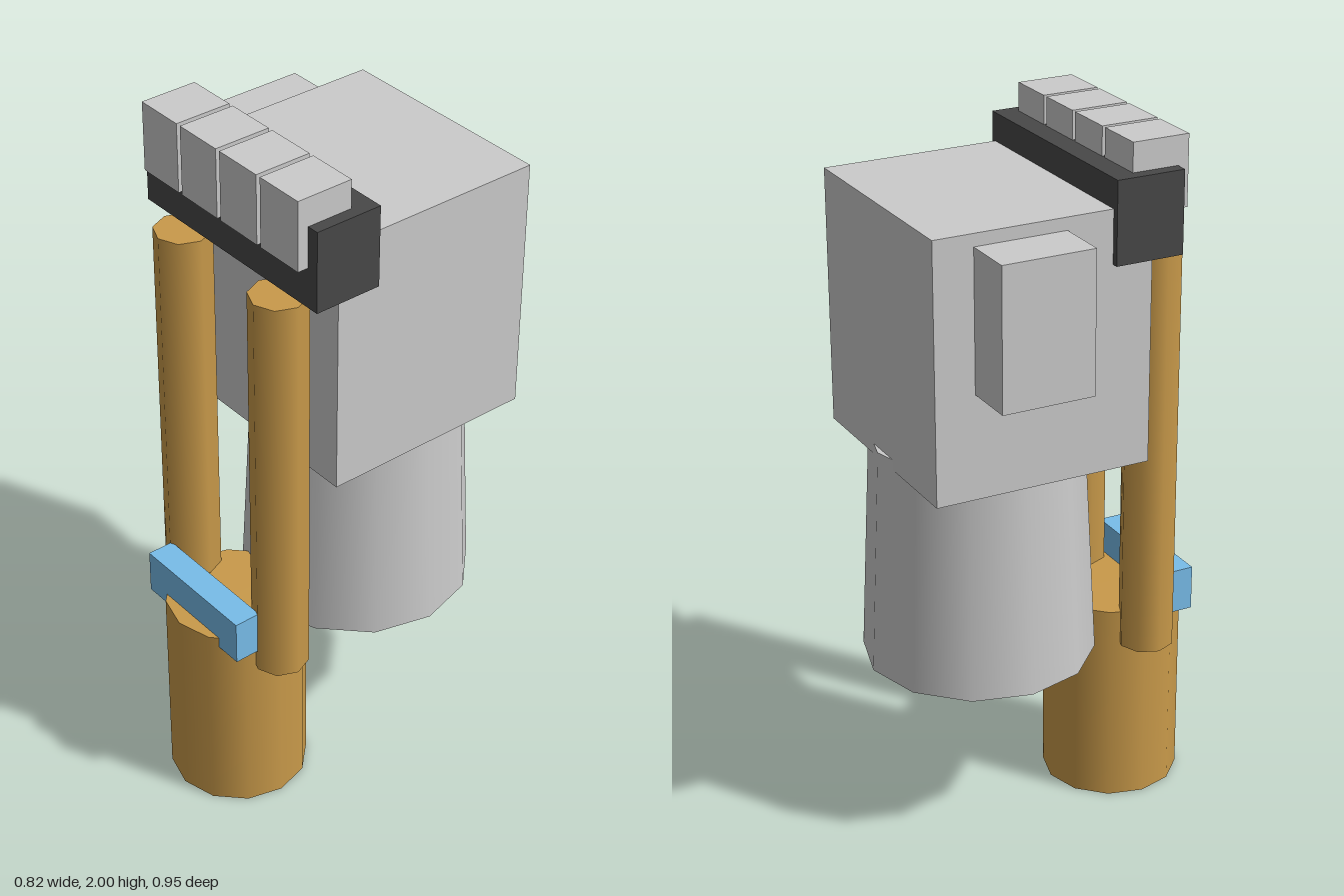
import * as THREE from 'three';

const material = (color) => new THREE.MeshStandardMaterial({ color });

export function createModel() {
  const model = new THREE.Group();
  const grey = material(0xcccccc);
  const dark = material(0x484848);
  const brass = material(0xc99a4a);
  const blue = material(0x78bdea);

  const add = (name, geometry, mat, x, y, z) => {
    const mesh = new THREE.Mesh(geometry, mat);
    mesh.name = name;
    mesh.position.set(x, y, z);
    model.add(mesh);
  };
  // Box given by its limits on each axis
  const box = (name, mat, [x0, x1], [y0, y1], [z0, z1]) =>
    add(name, new THREE.BoxGeometry(x1 - x0, y1 - y0, z1 - z0), mat,
      (x0 + x1) / 2, (y0 + y1) / 2, (z0 + z1) / 2);
  // Upright cylinder given by its radii and height limits
  const post = (name, mat, rTop, rBottom, sides, [y0, y1], x, z) =>
    add(name, new THREE.CylinderGeometry(rTop, rBottom, y1 - y0, sides), mat,
      x, (y0 + y1) / 2, z);

  const midX = 0.065;

  // Forearm, palm and thumb
  post('forearm', grey, 0.293, 0.325, 12, [0.5, 1.15], midX, -0.148);
  box('palm', grey, [-0.26, 0.392], [1.12, 1.84], [-0.425, 0.197]);
  box('thumb', grey, [-0.41, -0.26], [1.412, 1.805], [-0.312, -0.05]);

  // Knuckle bar with four fingers
  box('knuckleBar', dark, [-0.279, 0.408], [1.692, 1.92], [0.082, 0.277]);
  for (let i = 0; i < 4; i++) {
    const x = -0.172 + i * 0.158;
    box('finger', grey, [x - 0.072, x + 0.072], [1.805, 2], [0.145, 0.308]);
  }

  // Piston rods, lower canister and its clamp
  for (const side of [-1, 1])
    post('pistonRod', brass, 0.078, 0.078, 8, [0.497, 1.675], midX + side * 0.195, 0.278);
  post('canister', brass, 0.195, 0.195, 12, [0, 0.594], midX, 0.278);
  box('clamp', blue, [-0.13, 0.26], [0.562, 0.69], [0.35, 0.427]);

  return model;
}
